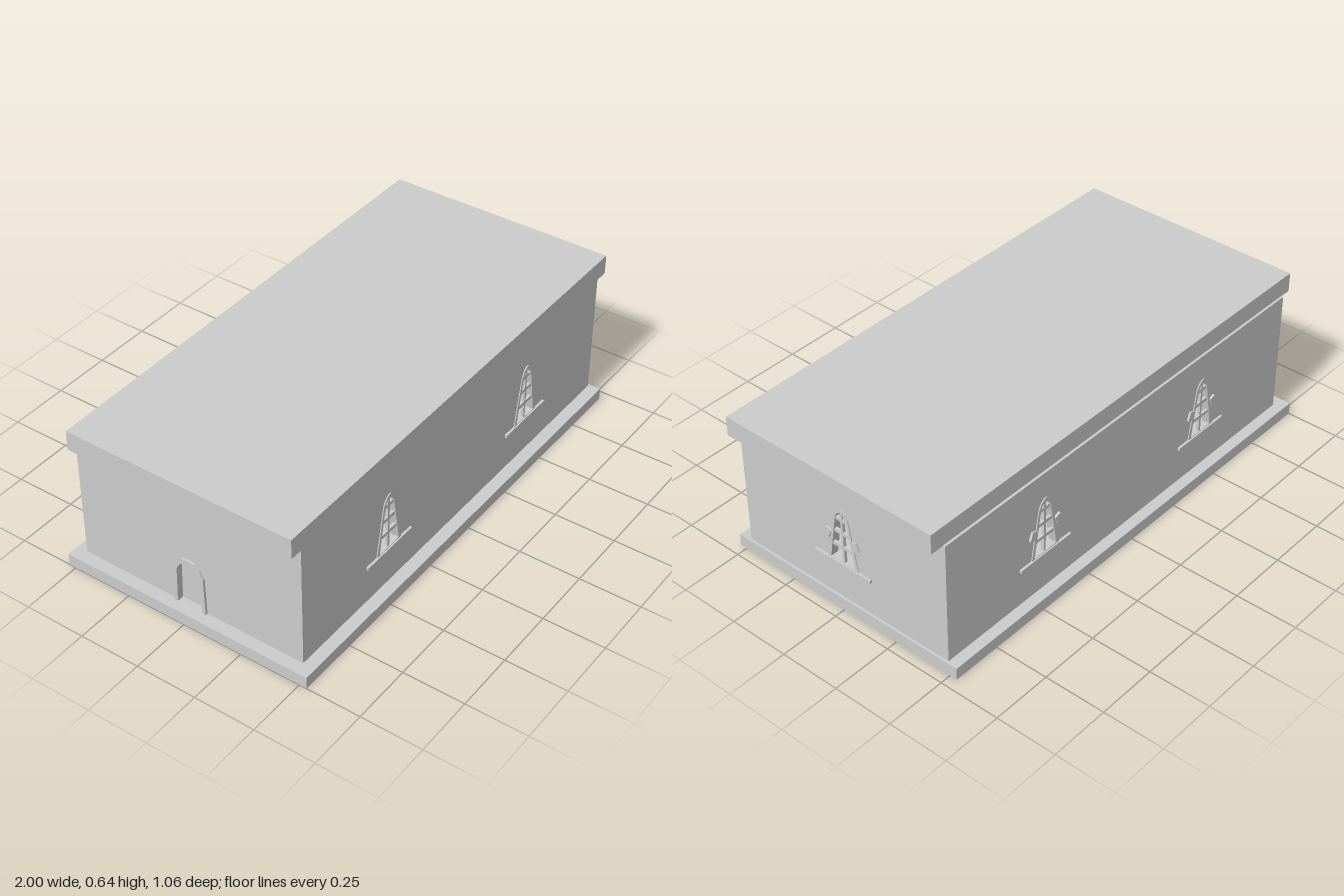
import * as THREE from 'three';

const T = 0.03; // wall thickness
const Y0 = 0.05, Y1 = 0.56; // wall bottom and top
const material = new THREE.MeshStandardMaterial({ color: 0xcccccc, flatShading: true, side: THREE.DoubleSide });

// Right-hand half outlines, mirrored to full ones
const WINDOW = [[0.073, 0.21], [0.05, 0.335], [0.034, 0.42], [0.022, 0.44], [0.006, 0.453]];
const WINDOW_IN = [[0.058, 0.215], [0.038, 0.335], [0.024, 0.415], [0.015, 0.43], [0.004, 0.438]];
const DOOR = [[0.07, 0.05], [0.066, 0.21], [0.05, 0.24], [0.028, 0.262]];
const DOOR_IN = [[0.054, 0.05], [0.05, 0.205], [0.038, 0.228], [0.022, 0.245]];
const SILL = [[0.1, 0.188], [0.133, 0.2], [0.133, 0.212]];

function mirrored(half, cx = 0) {
  const right = half.map(([x, y]) => new THREE.Vector2(cx + x, y));
  const left = half.map(([x, y]) => new THREE.Vector2(cx - x, y)).reverse();
  return [...right, ...left];
}

function add(parent, name, geometry, x = 0, y = 0, z = 0) {
  const mesh = new THREE.Mesh(geometry, material);
  mesh.name = name;
  mesh.position.set(x, y, z);
  parent.add(mesh);
  return mesh;
}

// Flat outline with holes, extruded from z0 to z1
function slab(parent, name, points, holes, z0, z1) {
  const shape = new THREE.Shape(points);
  holes.forEach((h) => shape.holes.push(new THREE.Path(h)));
  const geometry = new THREE.ExtrudeGeometry(shape, { depth: z1 - z0, bevelEnabled: false });
  return add(parent, name, geometry, 0, 0, z0);
}

function makeWindow(tabs) {
  const g = new THREE.Group();
  g.name = 'window';
  slab(g, 'windowFrame', mirrored(WINDOW), [mirrored(WINDOW_IN)], -T, 0.004);
  slab(g, 'windowSill', mirrored(SILL), [], -0.01, 0.01);
  add(g, 'mullion', new THREE.BoxGeometry(0.01, 0.23, 0.012), 0, 0.325, -0.006);
  // Crossbars follow the taper of the opening
  [0.28, 0.343, 0.403].forEach((y) => {
    const w = 0.16 - (y - 0.21) * 0.42;
    add(g, 'crossbar', new THREE.BoxGeometry(w - 0.025, 0.014, 0.012), 0, y, -0.006);
  });
  // Small tilted catches on both sides
  if (tabs) {
    for (const s of [-1, 1]) {
      const tab = add(g, 'catch', new THREE.BoxGeometry(0.028, 0.036, 0.016), s * 0.066, 0.323, 0.001);
      tab.rotation.z = s * 0.35;
    }
  }
  return g;
}

// Wall with its outer face on local z = 0
function makeWall(name, length, windowXs, tabs, hasDoor) {
  const g = new THREE.Group();
  g.name = name;
  const h = length / 2;
  const top = [[-h, Y1], [-h, Y0]];
  // A doorway cuts the lower edge, so it belongs to the outline
  const doorway = hasDoor ? mirrored(DOOR).reverse().map((p) => [p.x, p.y]) : [];
  const outline = [...top, ...doorway, [h, Y0], [h, Y1]].map(([x, y]) => new THREE.Vector2(x, y));
  slab(g, 'wallPanel', outline, windowXs.map((x) => mirrored(WINDOW, x)), -T, 0);
  windowXs.forEach((x) => {
    const w = makeWindow(tabs);
    w.position.x = x;
    g.add(w);
  });
  if (hasDoor) {
    const inner = mirrored(DOOR_IN).reverse();
    slab(g, 'doorFrame', [...mirrored(DOOR), ...inner], [], -T, 0.01);
    slab(g, 'doorPanel', mirrored(DOOR_IN), [], -T, -0.018);
  }
  return g;
}

export function createModel() {
  const model = new THREE.Group();
  model.name = 'building';

  // Base and flat roof
  add(model, 'base', new THREE.BoxGeometry(1.955, 0.05, 1.06), -0.0225, 0.025, 0);
  add(model, 'roof', new THREE.BoxGeometry(2, 0.08, 0.955), 0, 0.598, 0.0025);

  // Long walls with two windows each, end walls with a window and a door
  const front = makeWall('frontWall', 1.895, [-0.4475, 0.4475], false, false);
  front.position.set(-0.0025, 0, 0.48);
  const back = makeWall('backWall', 1.895, [-0.4475, 0.4475], true, false);
  back.position.set(-0.0025, 0, -0.485);
  back.rotation.y = Math.PI;
  const left = makeWall('leftWall', 0.965 - 2 * T, [0], true, false);
  left.position.set(0.945, 0, -0.0025);
  left.rotation.y = Math.PI / 2;
  const right = makeWall('rightWall', 0.965 - 2 * T, [], false, true);
  right.position.set(-0.95, 0, -0.0025);
  right.rotation.y = -Math.PI / 2;
  model.add(front, back, left, right);

  return model;
}
